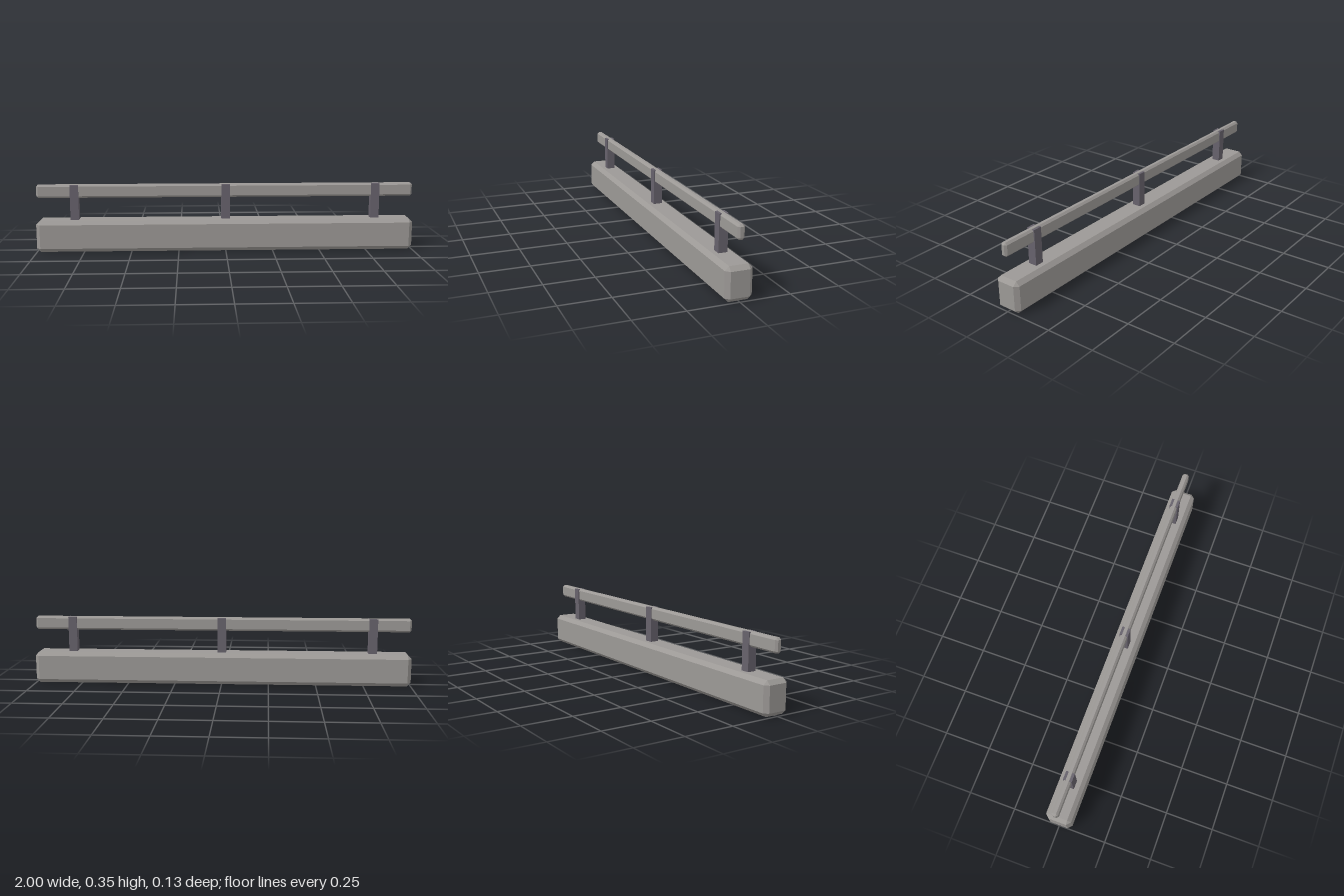
import * as THREE from 'three';
import { ConvexGeometry } from 'three/addons/geometries/ConvexGeometry.js';

const concrete = new THREE.MeshStandardMaterial({ name: 'warm grey', color: 0x9c9996, flatShading: true });
const metal = new THREE.MeshStandardMaterial({ name: 'dark violet grey', color: 0x67626c, flatShading: true });

// Box with every edge and corner cut off by c
function chamferedBox(w, h, d, c) {
  const points = [];
  for (const sx of [-1, 1]) for (const sy of [-1, 1]) for (const sz of [-1, 1]) {
    const x = w / 2, y = h / 2, z = d / 2;
    points.push(
      new THREE.Vector3(sx * x, sy * (y - c), sz * (z - c)),
      new THREE.Vector3(sx * (x - c), sy * y, sz * (z - c)),
      new THREE.Vector3(sx * (x - c), sy * (y - c), sz * z)
    );
  }
  return new ConvexGeometry(points);
}

export function createModel() {
  const group = new THREE.Group();
  group.name = 'barrier';

  const add = (name, geometry, material, x, y) => {
    const mesh = new THREE.Mesh(geometry, material);
    mesh.name = name;
    mesh.position.set(x, y, 0);
    group.add(mesh);
  };

  // Heavy base beam
  add('baseBeam', chamferedBox(2, 0.167, 0.134, 0.02), concrete, 0, 0.0835);

  // Slim top rail
  add('topRail', chamferedBox(2, 0.071, 0.035, 0.01), concrete, 0, 0.3185);

  // Three posts, standing slightly into the beam
  const names = ['rightPost', 'middlePost', 'leftPost'];
  [-0.8, 0, 0.8].forEach((x, i) => {
    add(names[i], new THREE.BoxGeometry(0.045, 0.202, 0.045), metal, x, 0.251);
  });

  return group;
}
